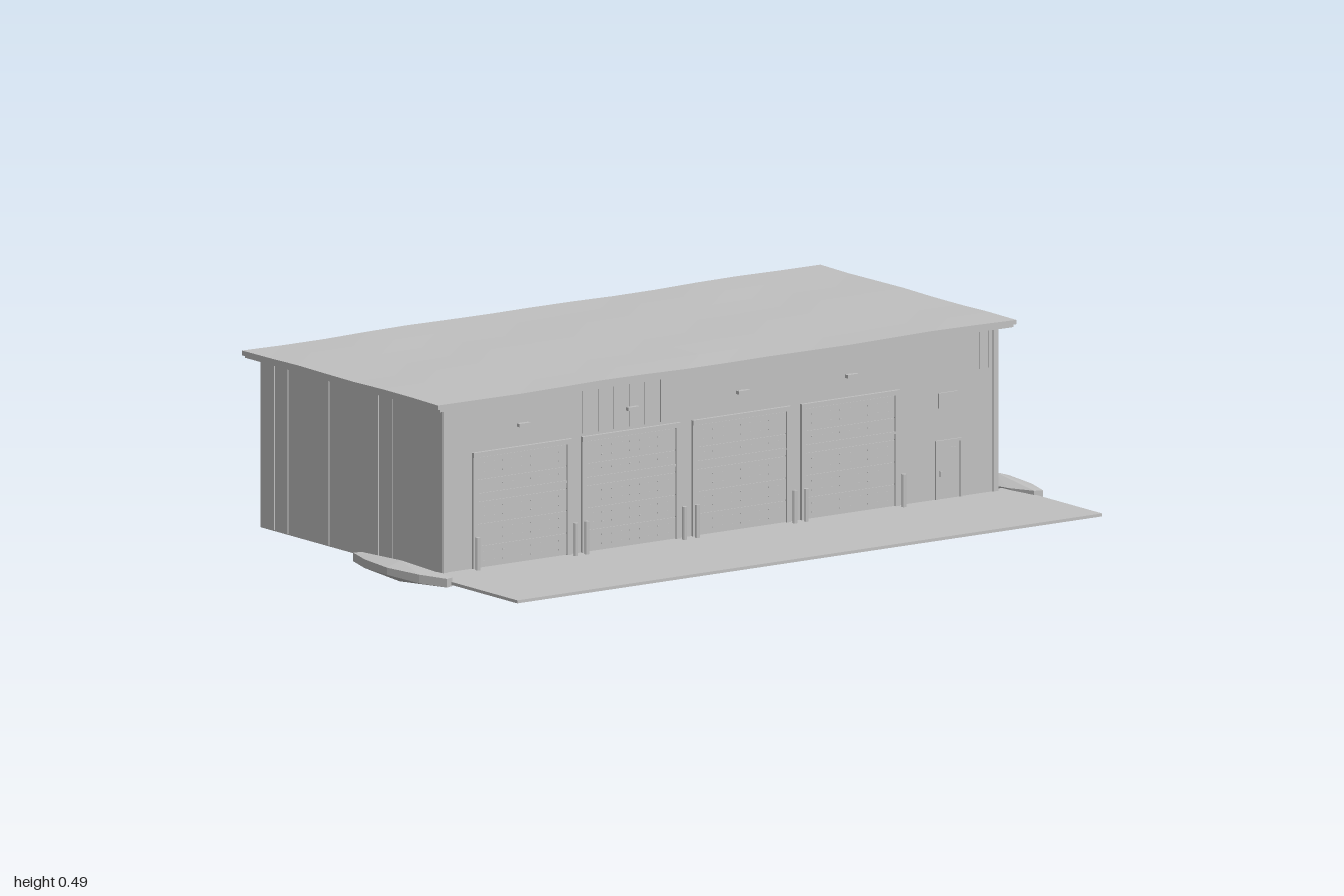
import * as THREE from 'three';
import { mergeGeometries } from 'three/addons/utils/BufferGeometryUtils.js';
import { ConvexGeometry } from 'three/addons/geometries/ConvexGeometry.js';

export function createModel() {
  const model = new THREE.Group();
  model.name = 'bayGarage';
  const gray = new THREE.MeshStandardMaterial({ color: 0xc0c0c0, flatShading: true });
  gray.name = 'plain gray';

  const add = (name, geometry, parent = model) => {
    const mesh = new THREE.Mesh(geometry, gray);
    mesh.name = name;
    parent.add(mesh);
    return mesh;
  };
  // Box given by its low and high limits on each axis
  const span = (x0, x1, y0, y1, z0, z1) =>
    new THREE.BoxGeometry(x1 - x0, y1 - y0, z1 - z0)
      .translate((x0 + x1) / 2, (y0 + y1) / 2, (z0 + z1) / 2);

  const front = 0.22;

  // Building shell and forecourt
  add('walls', span(-0.895, 0.893, 0.017, 0.47, -0.58, front));
  add('forecourt', span(-0.94, 0.94, 0.022, 0.03, 0.2, 0.615));

  // Roof slab whose upper face undulates slightly
  const roof = new THREE.BoxGeometry(1.86, 0.012, 0.865, 14, 1, 7).translate(0, 0.478, -0.1825);
  const p = roof.attributes.position;
  for (let i = 0; i < p.count; i++) {
    if (p.getY(i) < 0.48) continue;
    const x = p.getX(i), z = p.getZ(i);
    p.setY(i, 0.4845 + 0.0025 * Math.sin(x * 9 + z * 7) * Math.cos(z * 8 - x * 3));
  }
  roof.computeVertexNormals();
  add('roof', roof);
  // Lip under the roof edge
  add('roofLip', mergeGeometries([
    span(-0.922, 0.922, 0.465, 0.474, 0.236, 0.248),
    span(-0.922, 0.922, 0.465, 0.474, -0.613, -0.601),
    span(-0.922, -0.91, 0.465, 0.474, -0.601, 0.236),
    span(0.91, 0.922, 0.465, 0.474, -0.601, 0.236),
  ]));

  // Four garage bays
  [-0.64, -0.29, 0.065, 0.415].forEach((cx, i) => {
    const bay = new THREE.Group();
    bay.name = 'bay' + (i + 1);
    model.add(bay);
    const l = cx - 0.15, r = cx + 0.15;

    add('doorFrame', mergeGeometries([
      span(l - 0.008, l + 0.006, 0.03, 0.335, front, 0.227),
      span(r - 0.006, r + 0.008, 0.03, 0.335, front, 0.227),
      span(l - 0.008, r + 0.008, 0.325, 0.338, front, 0.229),
    ]), bay);

    // Sectional door: stacked panels with small studs
    const panels = [], studs = [];
    for (let row = 0; row < 5; row++) {
      const y = 0.03 + row * 0.059;
      panels.push(span(l + 0.006, r - 0.006, y + 0.001, y + 0.057, front, 0.2225));
      for (let k = 0; k < 9; k++) {
        for (const dy of [0.017, 0.041]) {
          const x = l + 0.03 + k * 0.03;
          studs.push(span(x - 0.003, x + 0.003, y + dy - 0.0015, y + dy + 0.0015, front, 0.2235));
        }
      }
    }
    add('doorPanels', mergeGeometries(panels), bay);
    add('doorStuds', mergeGeometries(studs), bay);
    add('doorRail', span(l + 0.006, r - 0.006, 0.222, 0.228, front, 0.225), bay);

    // Bollards either side of the opening
    for (const x of [l - 0.006, r + 0.008]) {
      add('bollard', new THREE.CylinderGeometry(0.0065, 0.0065, 0.09, 8).translate(x, 0.072, 0.244), bay);
    }

    // Lamp above the door
    add('lampArm', span(cx - 0.006, cx + 0.006, 0.393, 0.399, front, 0.232), bay);
    add('lampHood', span(cx - 0.018, cx + 0.018, 0.391, 0.4, 0.226, 0.238), bay);
  });

  // Entrance door, its frame, handle and wall plate
  add('entranceFrame', mergeGeometries([
    span(0.69, 0.697, 0.03, 0.186, front, 0.225),
    span(0.768, 0.775, 0.03, 0.186, front, 0.225),
    span(0.69, 0.775, 0.179, 0.186, front, 0.225),
  ]));
  add('entranceDoor', span(0.697, 0.768, 0.03, 0.179, front, 0.222));
  add('entranceWindow', span(0.74, 0.758, 0.11, 0.165, front, 0.2235));
  add('doorHandle', span(0.703, 0.71, 0.09, 0.105, front, 0.228));
  add('wallPlate', span(0.7, 0.762, 0.272, 0.312, front, 0.225));

  // Thin upright ribs on the front and the end walls
  const ribs = [];
  for (const x of [-0.44, -0.39, -0.34, -0.29, -0.24, -0.19]) {
    ribs.push(span(x - 0.003, x + 0.003, 0.345, 0.465, front, 0.2225));
  }
  for (const x of [0.835, 0.865]) ribs.push(span(x - 0.003, x + 0.003, 0.36, 0.465, front, 0.2225));
  for (const x of [-0.885, 0.883]) ribs.push(span(x - 0.008, x + 0.008, 0.03, 0.465, front, 0.224));
  for (const z of [0.08, 0.04, -0.17, -0.22, -0.42, -0.5]) {
    ribs.push(span(0.893, 0.896, 0.02, 0.465, z - 0.003, z + 0.003));
  }
  for (const z of [0.0, -0.06, -0.28, -0.46, -0.52]) {
    ribs.push(span(-0.898, -0.895, 0.02, 0.465, z - 0.003, z + 0.003));
  }
  add('wallRibs', mergeGeometries(ribs));

  // Faceted mound at each end
  for (const s of [-1, 1]) {
    const pts = [];
    const pt = (x, y, z) => pts.push(new THREE.Vector3(s * x, y, 0.122 + z));
    for (const e of [-1, 1]) {
      for (const y of [0.018, 0.041]) {
        pt(0.935, y, e * 0.2);
        pt(0.958, y, e * 0.208);
        pt(0.985, y, e * 0.12);
      }
      pt(0.92, 0.034, e * 0.1);
    }
    pt(1, 0.041, 0);
    pt(1, 0.022, 0);
    pt(0.915, 0.03, 0);
    pt(0.955, 0.055, 0);
    pt(0.96, 0, 0);
    add(s < 0 ? 'rightMound' : 'leftMound', new ConvexGeometry(pts));
  }

  return model;
}
